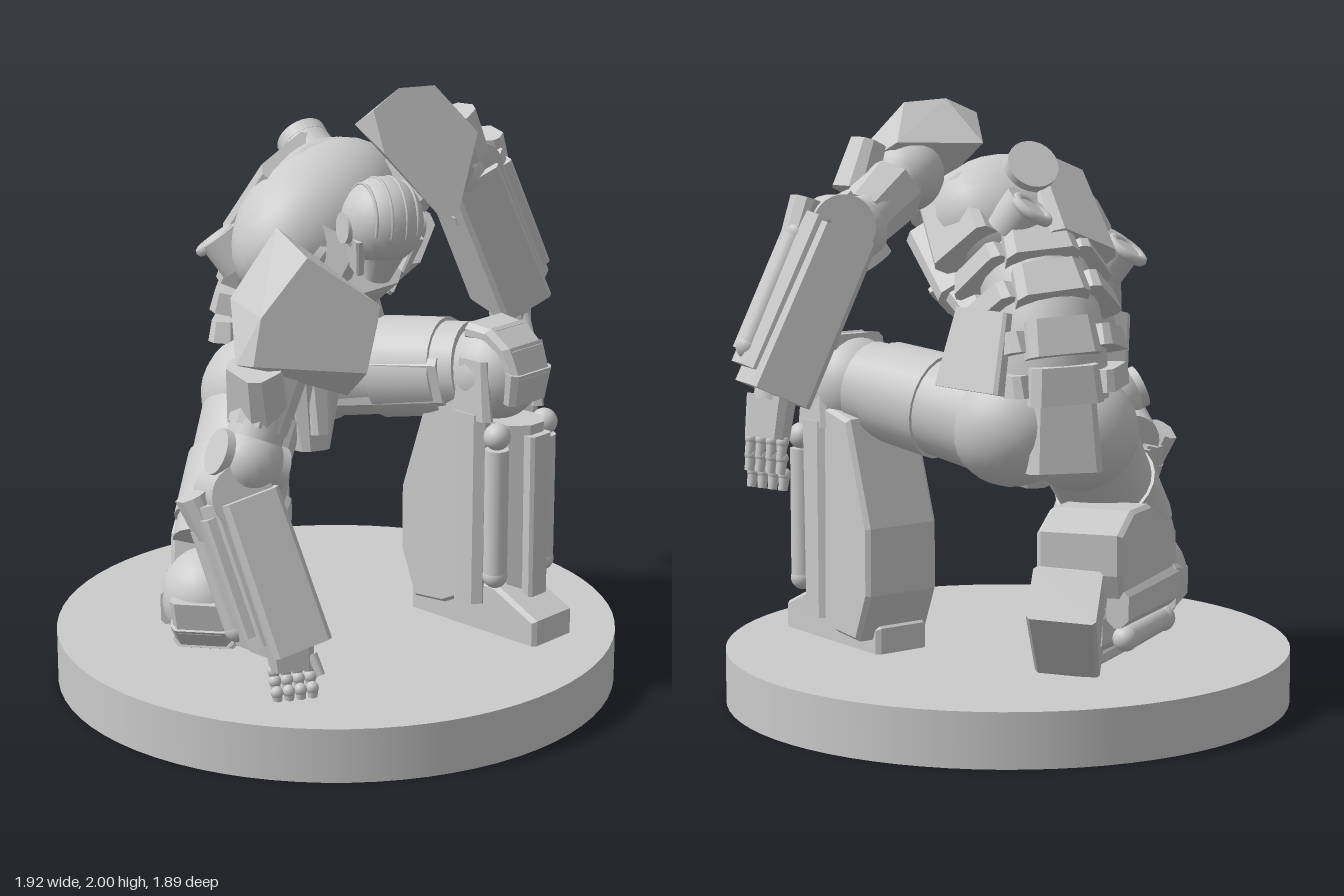
import * as THREE from 'three';
import { ConvexGeometry } from 'three/addons/geometries/ConvexGeometry.js';

const grey = new THREE.MeshStandardMaterial({ color: 0xcccccc, side: THREE.DoubleSide });
const V = (x, y, z) => new THREE.Vector3(x, y, z);

function add(parent, name, geo, x = 0, y = 0, z = 0, rx = 0, ry = 0, rz = 0) {
  const m = new THREE.Mesh(geo, grey);
  m.name = name;
  m.position.set(x, y, z);
  m.rotation.set(rx, ry, rz);
  parent.add(m);
  return m;
}

// Chamfered block standing along y, with its top end scaled by taper
function block(w, h, d, taper = 1, c = 0.22) {
  const k = Math.min(w, d) * c, x = w / 2, z = d / 2;
  const s = new THREE.Shape([[x - k, -z], [x, -z + k], [x, z - k], [x - k, z], [k - x, z], [-x, z - k], [-x, k - z], [k - x, -z]]
    .map(p => new THREE.Vector2(...p)));
  const g = new THREE.ExtrudeGeometry(s, { depth: h, bevelEnabled: false });
  g.translate(0, 0, -h / 2).rotateX(-Math.PI / 2);
  const p = g.attributes.position;
  for (let i = 0; i < p.count; i++) {
    if (p.getY(i) > 0) p.setXYZ(i, p.getX(i) * taper, p.getY(i), p.getZ(i) * taper);
  }
  g.computeVertexNormals();
  return g;
}
const cyl = (r, h, r2 = r, n = 24) => new THREE.CylinderGeometry(r2, r, h, n);
const ball = r => new THREE.SphereGeometry(r, 24, 16);

// Side profile of [z, y] points given a width along x
function slab(points, width) {
  const g = new THREE.ExtrudeGeometry(new THREE.Shape(points.map(p => new THREE.Vector2(-p[0], p[1]))),
    { depth: width - 0.03, bevelThickness: 0.015, bevelSize: 0.012, bevelSegments: 1 });
  return g.translate(0, 0, -(width - 0.03) / 2).rotateY(Math.PI / 2);
}

// Group at a whose y axis runs to b and whose z axis leans to the hint
function frame(parent, name, a, b, hint = V(0, 0, 1)) {
  const y = b.clone().sub(a).normalize();
  const x = y.clone().cross(hint).normalize();
  const g = new THREE.Group();
  g.name = name;
  g.position.copy(a);
  g.quaternion.setFromRotationMatrix(new THREE.Matrix4().makeBasis(x, y, x.clone().cross(y)));
  parent.add(g);
  return [g, a.distanceTo(b)];
}

function hand(parent, name, a, b, hint) {
  const [g, L] = frame(parent, name, a, b, hint);
  add(g, 'wrist', cyl(0.055, 0.08), 0, -0.02, 0);
  add(g, 'palm', block(0.09, L * 0.45, 0.15, 0.9), 0, L * 0.25, 0);
  for (let i = 0; i < 4; i++) {
    const z = (i - 1.5) * 0.038;
    for (let j = 0; j < 3; j++) {
      const y = L * (0.5 + j * 0.17), x = 0.008 * j * j;
      add(g, 'knuckle', new THREE.SphereGeometry(0.021, 10, 8), x, y, z);
      add(g, 'fingerSegment', cyl(0.018, L * 0.16, 0.015, 8), x, y + L * 0.09, z);
    }
  }
  add(g, 'thumb', cyl(0.018, L * 0.4, 0.014, 8), 0.035, L * 0.42, 0.075, 0.3, 0, -0.3);
}

// out: +1 or -1, the local x side that faces away from the body
function forearm(parent, name, a, b, out) {
  const [g, L] = frame(parent, name, a, b);
  add(g, 'forearmBox', block(0.19, L * 0.9, 0.28, 1.05, 0.08), -out * 0.02, L * 0.55, 0);
  add(g, 'outerPlate', block(0.11, L * 0.84, 0.23, 0.95, 0.35), out * 0.075, L * 0.5, -0.01);
  add(g, 'elbowCuff', cyl(0.1, 0.22), 0, 0.05, 0, Math.PI / 2);
  add(g, 'panelSlot', block(0.012, 0.03, 0.1), -out * 0.114, L * 0.35, 0);
  add(g, 'piston', cyl(0.042, L * 0.6), out * 0.115, L * 0.52, -0.05);
  add(g, 'pistonCap', ball(0.043), out * 0.115, L * 0.82, -0.05);
  add(g, 'pistonJoint', ball(0.045), out * 0.11, L * 0.2, -0.05);
  add(g, 'outerRail', block(0.05, L * 0.7, 0.07, 0.9), out * 0.115, L * 0.5, 0.06);
  add(g, 'elbowGuard', block(0.08, 0.14, 0.15, 0.9, 0.35), out * 0.12, 0.08, -0.02, 0, 0, out * 0.12);
}

function upperArm(parent, name, a, b) {
  const [g, L] = frame(parent, name, a, b);
  add(g, 'shoulderBall', ball(0.12));
  add(g, 'upperArmCore', cyl(0.09, L), 0, L / 2, 0);
  add(g, 'bicepArmor', block(0.21, L * 0.5, 0.2, 0.85, 0.3), 0, L * 0.55, 0);
  add(g, 'elbowBall', ball(0.115), 0, L, 0);
  add(g, 'elbowHinge', cyl(0.075, 0.23), 0, L, 0, 0, 0, Math.PI / 2);
}

function thigh(parent, name, a, b) {
  const [g, L] = frame(parent, name, a, b);
  add(g, 'thighCore', cyl(0.175, L * 0.9, 0.15), 0, L * 0.45, 0);
  add(g, 'hipBulge', ball(0.195)).scale.set(1, 1.05, 1);
  add(g, 'thighBand', cyl(0.174, L * 0.35, 0.166), 0, L * 0.6, 0);
  add(g, 'thighPlate', block(0.2, L * 0.65, 0.1, 0.85), 0, L * 0.5, 0.11);
}

// Local +z is the front of the shin, the calf lies to -z
function shin(parent, name, a, b, hint) {
  const [g, L] = frame(parent, name, a, b, hint);
  add(g, 'calfBox', slab([[0, 0.06], [-0.17, 0.1], [-0.28, 0.44], [-0.28, 0.66], [-0.22, L - 0.04], [-0.1, L - 0.05], [0, L - 0.1]], 0.28));
  add(g, 'shinPlate', block(0.17, L * 0.74, 0.2, 0.85, 0.3), 0, L * 0.54, 0.09);
  add(g, 'shinRidge', block(0.1, L * 0.66, 0.05, 0.9), 0, L * 0.54, 0.19);
  for (const s of [-1, 1]) {
    add(g, 'sideRail', block(0.08, L * 0.78, 0.14, 0.9, 0.35), s * 0.12, L * 0.52, 0.01);
    add(g, 'shinPiston', cyl(0.04, L * 0.52), s * 0.12, L * 0.52, 0.12);
    add(g, 'pistonEnd', ball(0.042), s * 0.12, L * 0.78, 0.12);
    add(g, 'pistonJoint', ball(0.045), s * 0.12, L * 0.21, 0.12);
    add(g, 'kneeSidePlate', block(0.05, 0.2, 0.17, 0.7, 0.4), s * 0.13, 0.03, 0.02, Math.PI);
  }
  // Rounded knee with a strap of armour over it
  add(g, 'kneeJoint', ball(0.165)).scale.set(0.95, 1, 1);
  for (let i = 0; i < 4; i++) {
    const t = -0.15 + i * 0.55;
    add(g, 'kneeArmor', block(0.2, 0.11, 0.06, 0.9, 0.3), 0, -0.14 * Math.sin(t), 0.14 * Math.cos(t), t);
  }
}

function buildTorso(root) {
  // Pelvis, hips and waist
  add(root, 'pelvis', block(0.34, 0.28, 0.3, 0.85), -0.07, 0.98, -0.33);
  add(root, 'crotchGuard', block(0.1, 0.28, 0.16, 2), -0.07, 0.89, -0.15, -0.2);
  add(root, 'crotchRidge', block(0.06, 0.2, 0.06, 1.5), -0.07, 0.93, -0.05, -0.2);
  add(root, 'seatPlate', block(0.24, 0.28, 0.12, 0.85), -0.08, 0.98, -0.5, 0.1);
  add(root, 'leftFlankPanel', block(0.05, 0.26, 0.3, 0.8), 0.17, 1.22, -0.38, 0, 0.5, 0.25);
  const spine = new THREE.CatmullRomCurve3([V(-0.08, 1.05, -0.38), V(-0.07, 1.25, -0.36), V(-0.05, 1.45, -0.22), V(-0.04, 1.58, -0.08)]);
  add(root, 'waistCore', new THREE.TubeGeometry(spine, 20, 0.18, 20));
  for (let i = 0; i < 4; i++) {
    const t = 0.12 + i * 0.18, p = spine.getPoint(t);
    const [g] = frame(root, 'spineSegment', p, p.clone().add(spine.getTangent(t)));
    add(g, 'backPlate', block(0.24, 0.12, 0.13, 0.9), 0, 0, -0.15);
    add(g, 'bellyPlate', block(0.22, 0.09, 0.12, 0.9), 0, 0, 0.14);
    for (const s of [-1, 1]) add(g, 'rib', block(0.1, 0.07, 0.25, 0.85), s * 0.17, 0, -0.05, 0, s * 0.5);
  }

  // Chest leans forward and rolls to its right
  const [c] = frame(root, 'chest', V(-0.05, 1.37, -0.2), V(0, 1.72, 0.14), V(0.215, -0.236, 0.207));
  add(c, 'chestCore', block(0.42, 0.36, 0.32, 1.05), 0, 0.2, 0);
  add(c, 'upperBackShell', ball(1), -0.03, 0.25, -0.04).scale.set(0.36, 0.25, 0.235);
  add(c, 'backBlock', block(0.3, 0.34, 0.13, 0.9), -0.01, 0.2, -0.22);
  add(c, 'collar', new THREE.TorusGeometry(0.23, 0.06, 10, 32, Math.PI * 1.1), 0, 0.36, 0.04, -Math.PI / 2, 0, -0.15);
  for (const s of [-1, 1]) {
    add(c, 'chestPlate', block(0.2, 0.28, 0.12, 1.15), s * 0.12, 0.2, 0.19, 0.12, s * 0.35);
    add(c, 'lowerChestPlate', block(0.16, 0.14, 0.1, 1.2), s * 0.1, 0.02, 0.15, 0.25, s * 0.35);
    add(c, 'chestSeam', block(0.15, 0.02, 0.02), s * 0.13, 0.12, 0.25, 0.12, s * 0.35);
    add(c, 'sideBlock', block(0.1, 0.24, 0.24, 0.9), s * 0.26, 0.22, 0);
    add(c, 'collarPlate', block(0.08, 0.1, 0.22, 0.8), s * 0.2, 0.4, 0.08, 0, 0, s * 0.4);
    add(c, 'thruster', cyl(0.075, 0.12), s * 0.23 - 0.04, 0.13, -0.18, Math.PI / 2 + 0.3);
    add(c, 'thrusterRim', new THREE.TorusGeometry(0.06, 0.018, 8, 24), s * 0.23 - 0.04, 0.112, -0.24, 0.3);
  }
  const [e, L] = frame(root, 'backExhaust', V(-0.02, 1.64, 0), V(-0.05, 1.8, -0.24));
  add(e, 'exhaustPipe', cyl(0.11, L, 0.08), 0, L / 2, 0);
  add(e, 'exhaustRim', cyl(0.085, 0.04), 0, L - 0.02, 0);
}

function buildHead(root) {
  add(root, 'neck', cyl(0.08, 0.2), 0, 1.6, 0.18, 1.1);
  const h = new THREE.Group();
  h.name = 'head';
  h.position.set(0, 1.635, 0.32);
  h.rotation.set(0.3, 0, -0.05);
  root.add(h);
  add(h, 'helmet', ball(0.138)).scale.set(0.95, 1.02, 1);
  add(h, 'faceMask', cyl(0.045, 0.16, 0.095, 20), 0, -0.105, 0.035);
  for (const x of [-0.07, -0.025, 0.025, 0.07]) {
    const r = Math.sqrt(0.134 * 0.134 - x * x);
    add(h, 'helmetRidge', new THREE.TorusGeometry(r, 0.005, 6, 24, Math.PI * 0.85), x, 0.006, 0, 0, -Math.PI / 2, 0);
  }
  for (const s of [-1, 1]) {
    add(h, 'earDisc', cyl(0.05, 0.02), s * 0.125, -0.02, 0, 0, 0, Math.PI / 2);
    add(h, 'cheekGuard', block(0.025, 0.13, 0.11, 1.2), s * 0.09, -0.09, 0.02, 0, 0, -s * 0.2);
  }
}

// Angular pad: a flat front face on the plane z = k + m x + n y, hulled with back corners
function pad(root, name, [k, m, n], front, back) {
  const pts = front.map(([x, y]) => V(x, y, k + m * x + n * y));
  add(root, name, new ConvexGeometry([...pts, ...back.map(p => V(...p))]));
}

export function createModel() {
  const root = new THREE.Group();
  root.name = 'kneelingRobot';
  add(root, 'base', cyl(0.945, 0.18, 0.945, 72), -0.025, 0.09, 0);
  buildTorso(root);
  buildHead(root);

  // Shoulder pads
  pad(root, 'leftShoulderPad', [1.235, -0.365, -0.556],
    [[0.05, 1.95], [0.17, 2], [0.32, 1.99], [0.46, 1.83], [0.31, 1.61], [0.24, 1.6], [0.06, 1.82]],
    [[0.08, 1.86, -0.09], [0.38, 1.87, -0.17], [0.46, 1.8, -0.05], [0.37, 1.58, 0.1]]);
  pad(root, 'rightShoulderPad', [0.7, 0.2, -0.1],
    [[-0.32, 1.58], [-0.1, 1.42], [-0.15, 1.21], [-0.5, 1.25], [-0.47, 1.4]],
    [[-0.06, 1.37, 0.44], [-0.17, 1.11, 0.44], [-0.53, 1.24, 0.4], [-0.47, 1.4, 0.2], [-0.32, 1.62, 0.22], [-0.12, 1.36, 0.2], [-0.35, 1.2, 0.22]]);

  // Left arm swings out and back
  upperArm(root, 'leftUpperArm', V(0.33, 1.76, -0.08), V(0.57, 1.6, -0.37));
  add(root, 'leftArmGuard', block(0.13, 0.17, 0.13, 0.8), 0.49, 1.79, -0.13, 0, 0.6, 0.4);
  forearm(root, 'leftForearm', V(0.6, 1.67, -0.4), V(0.855, 1.12, -0.45), -1);
  hand(root, 'leftHand', V(0.84, 1.12, -0.47), V(0.88, 0.83, -0.5), V(0.75, 0, 0.65));

  // Right arm reaches down to the ground
  upperArm(root, 'rightUpperArm', V(-0.3, 1.4, 0.32), V(-0.5, 0.93, 0.42));
  add(root, 'rightArmGuard', block(0.16, 0.2, 0.2, 0.85), -0.46, 1.14, 0.4, 0.2, 0.3, 0.2);
  forearm(root, 'rightForearm', V(-0.56, 0.87, 0.4), V(-0.43, 0.34, 0.55), 1);
  hand(root, 'rightHand', V(-0.42, 0.36, 0.56), V(-0.41, 0.18, 0.57), V(1, 0, 0.2));

  // Left leg stands on its foot
  const out = V(0.4, 0, 0.92);
  thigh(root, 'leftThigh', V(0.05, 0.97, -0.35), V(0.46, 1.06, 0.16));
  shin(root, 'leftShin', V(0.47, 1.05, 0.18), V(0.47, 0.2, 0.18), out);
  const [lf] = frame(root, 'leftFoot', V(0.43, 0.18, 0.15), V(0.43, 1, 0.15), out);
  add(lf, 'footSole', slab([[-0.2, 0], [-0.2, 0.08], [-0.08, 0.17], [0.16, 0.16], [0.33, 0.08], [0.33, 0]], 0.2));
  add(lf, 'ankle', block(0.2, 0.16, 0.18, 0.9), 0, 0.12, 0.03);

  // Right leg kneels with its shin along the ground
  thigh(root, 'rightThigh', V(-0.2, 0.93, -0.26), V(-0.5, 0.46, 0.08));
  shin(root, 'rightShin', V(-0.52, 0.37, 0.1), V(-0.09, 0.43, -0.62), V(0, -1, 0));
  const [rf, n] = frame(root, 'rightFoot', V(-0.03, 0.49, -0.72), V(-0.12, 0.25, -0.46), V(-0.3, 0.8, 0.6));
  add(rf, 'footSole', block(0.22, n, 0.19, 0.95, 0.06), 0, n / 2, 0);
  add(rf, 'ankle', block(0.2, 0.18, 0.2, 0.9), 0, n * 0.65, 0.08);
  return root;
}
